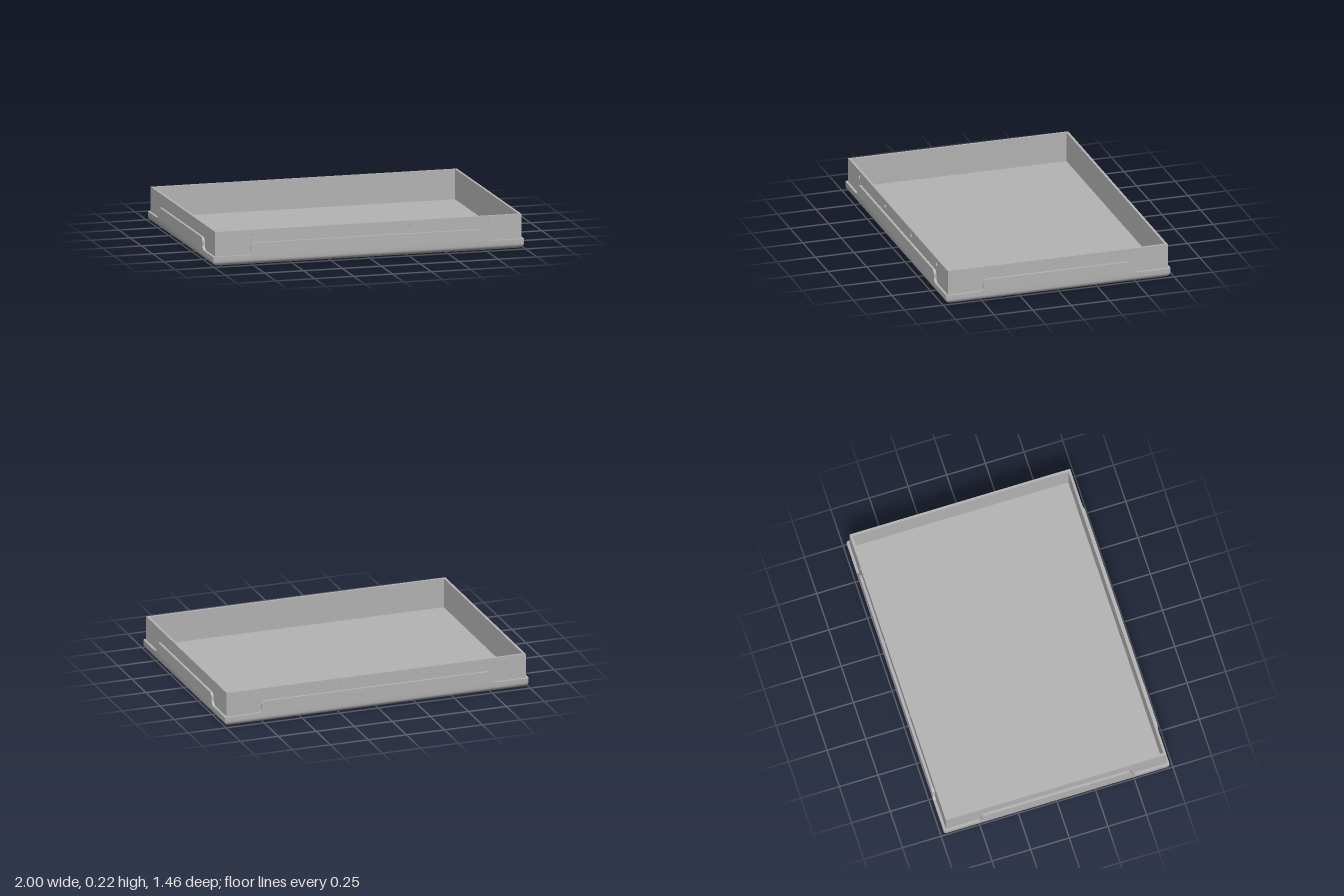
import * as THREE from 'three';
import { toCreasedNormals } from 'three/addons/utils/BufferGeometryUtils.js';

const W = 1, D = 0.73;           // half width and half depth of the outer pan
const T = 0.016;                 // sheet thickness
const IW = W - T, ID = D - T;    // half sizes of the inner box
const LIP = 0.06, TAB = 0.135, TOP = 0.215, FLOOR = 0.025;

// Rounded rectangle ring in the ground plane, inset from the pan outline
function ring(inset, y) {
  const r = 0.012, pts = [];
  const corners = [[1, 1], [-1, 1], [-1, -1], [1, -1]];
  corners.forEach(([sx, sz], c) => {
    for (let i = 0; i <= 4; i++) {
      const a = (c + i / 4) * Math.PI / 2;
      pts.push([sx * (W - inset - r) + r * Math.cos(a), y, sz * (D - inset - r) + r * Math.sin(a)]);
    }
  });
  return pts;
}

// Skin a list of rings from bottom to top and close both ends with fans
function loft(profile) {
  const rings = profile.map(([inset, y]) => ring(inset, y));
  const n = rings[0].length, index = [];
  const pos = rings.flat(2);
  for (let k = 0; k < rings.length - 1; k++) {
    for (let i = 0; i < n; i++) {
      const a = k * n + i, b = k * n + (i + 1) % n;
      index.push(a, a + n, b, b, a + n, b + n);
    }
  }
  const bottom = rings.length * n, last = (rings.length - 1) * n;
  pos.push(0, profile[0][1], 0, 0, profile[profile.length - 1][1], 0);
  for (let i = 0; i < n; i++) {
    const j = (i + 1) % n;
    index.push(bottom, i, j, bottom + 1, last + j, last + i);
  }
  const g = new THREE.BufferGeometry();
  g.setAttribute('position', new THREE.Float32BufferAttribute(pos, 3));
  g.setIndex(index);
  return toCreasedNormals(g, 0.6);
}

// Raised tab outline with S-shaped shoulders
function tabShape(half) {
  const r = 0.032, s = new THREE.Shape();
  s.moveTo(-half - r, LIP);
  s.lineTo(half + r, LIP);
  s.absarc(half + r, LIP + r, r, -Math.PI / 2, -Math.PI, true);
  s.lineTo(half, TAB - r);
  s.absarc(half - r, TAB - r, r, 0, Math.PI / 2, false);
  s.lineTo(-half + r, TAB);
  s.absarc(-half + r, TAB - r, r, Math.PI / 2, Math.PI, false);
  s.lineTo(-half, LIP + r);
  s.absarc(-half - r, LIP + r, r, 0, -Math.PI / 2, true);
  return s;
}

export function createModel() {
  const model = new THREE.Group();
  const steel = new THREE.MeshStandardMaterial({ color: 0xb4b4b4 });
  steel.name = 'grey metal';
  const add = (name, geometry, parent = model) => {
    const mesh = new THREE.Mesh(geometry, steel);
    mesh.name = name;
    parent.add(mesh);
    return mesh;
  };

  // Outer pan with rolled lower edge
  const R = 0.032, profile = [];
  for (let i = 0; i <= 6; i++) {
    const a = i / 6 * Math.PI / 2;
    profile.push([R * (1 - Math.sin(a)), R * (1 - Math.cos(a))]);
  }
  profile.push([0, LIP], [T, LIP], [T, 0.012]);
  add('outerPan', loft(profile));

  // Floor of the inner box
  const floor = add('floor', new THREE.BoxGeometry(2 * IW - 0.002, FLOOR - 0.012, 2 * ID - 0.002));
  floor.position.y = (FLOOR + 0.012) / 2;

  // Long walls: solid inner sheet behind a drilled outer skin
  const skin = 0.008, wallH = TOP - 0.012;
  for (const side of [1, -1]) {
    const group = new THREE.Group();
    group.name = side > 0 ? 'frontWall' : 'backWall';
    group.rotation.y = side > 0 ? 0 : Math.PI;
    const sheet = add('innerSheet', new THREE.BoxGeometry(2 * IW, wallH, T - skin), group);
    sheet.position.set(0, 0.012 + wallH / 2, ID - skin - (T - skin) / 2);

    const face = new THREE.Shape([
      new THREE.Vector2(-IW, 0.012), new THREE.Vector2(IW, 0.012),
      new THREE.Vector2(IW, TOP), new THREE.Vector2(-IW, TOP),
    ]);
    for (const x of [-0.76, -0.255, 0.255, 0.76]) {
      face.holes.push(new THREE.Path().absarc(x, 0.178, 0.013, 0, Math.PI * 2, true));
    }
    const outer = add('drilledSkin', new THREE.ExtrudeGeometry(face, { depth: skin, bevelEnabled: false, curveSegments: 10 }), group);
    outer.position.z = ID - skin;
    model.add(group);

    // Short walls
    const end = add(side > 0 ? 'leftWall' : 'rightWall', new THREE.BoxGeometry(T, wallH, 2 * (ID - T)));
    end.position.set(side * (IW - T / 2), 0.012 + wallH / 2, 0);
  }

  // Raised tabs on all four sides of the pan
  const tabs = [
    ['frontTab', 0.757, D, 0], ['leftTab', 0.487, W, Math.PI / 2],
    ['backTab', 0.757, D, Math.PI], ['rightTab', 0.487, W, -Math.PI / 2],
  ];
  for (const [name, half, out, turn] of tabs) {
    const g = new THREE.ExtrudeGeometry(tabShape(half), { depth: T, bevelEnabled: false, curveSegments: 8 });
    g.translate(0, 0, out - T);
    add(name, toCreasedNormals(g, 0.6)).rotation.y = turn;
  }
  return model;
}
